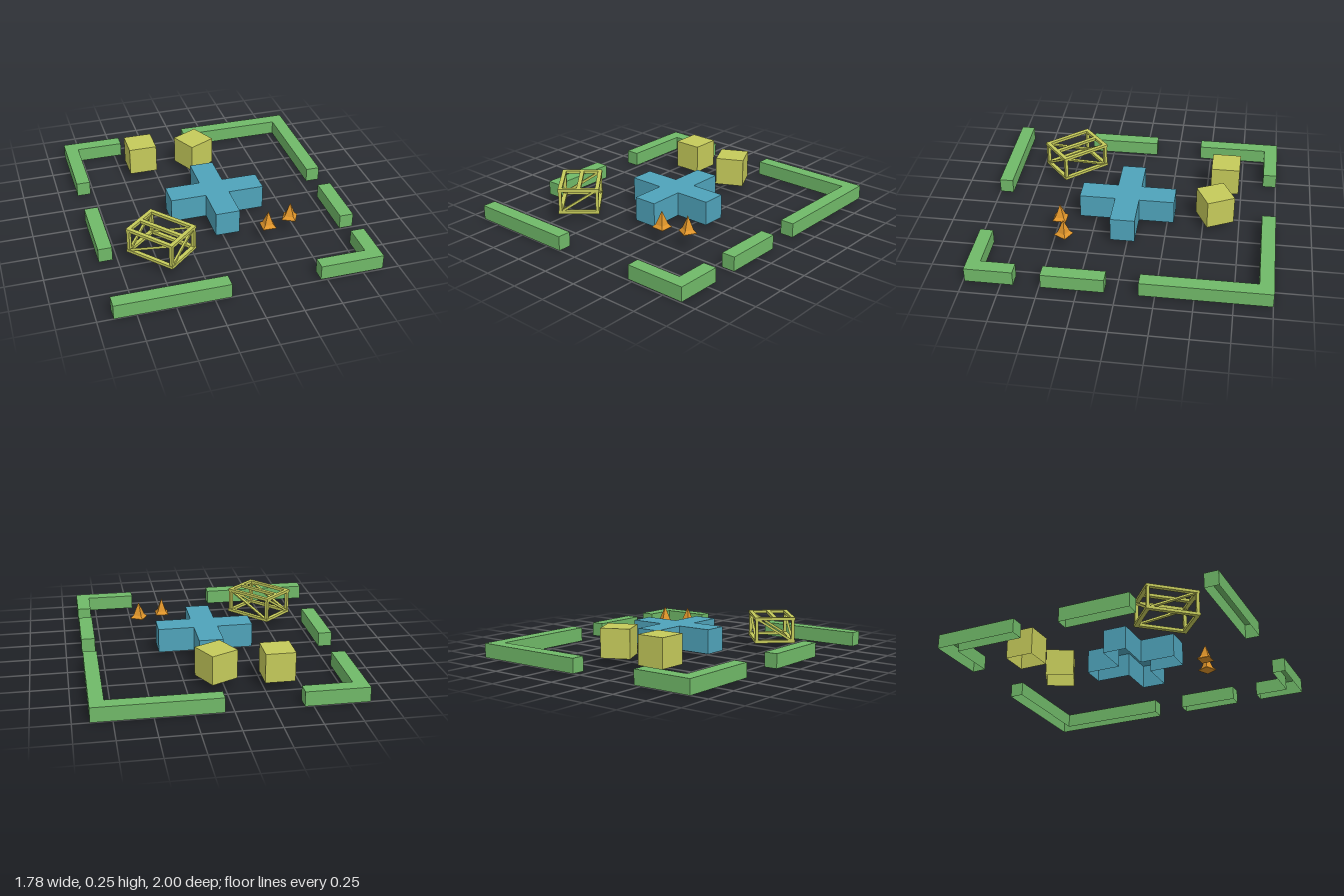
import * as THREE from 'three';

const paint = (name, color) => {
  const m = new THREE.MeshStandardMaterial({ color, side: THREE.DoubleSide });
  m.name = name;
  return m;
};

// Upright shell with a flat top and an open underside, from an outline of [x, z] corners
function shell(outline, y0, y1) {
  const shape = new THREE.Shape(outline.map(([x, z]) => new THREE.Vector2(x, -z)));
  const solid = new THREE.ExtrudeGeometry(shape, { depth: y1 - y0, bevelEnabled: false });
  solid.rotateX(-Math.PI / 2);
  const p = solid.attributes.position;
  const kept = [];
  for (let i = 0; i < p.count; i += 3) {
    if (Math.max(p.getY(i), p.getY(i + 1), p.getY(i + 2)) < 1e-5) continue;
    for (let k = i; k < i + 3; k++) kept.push(p.getX(k), p.getY(k) + y0, p.getZ(k));
  }
  const g = new THREE.BufferGeometry();
  g.setAttribute('position', new THREE.Float32BufferAttribute(kept, 3));
  g.computeVertexNormals();
  return g;
}

const rect = (x0, x1, z0, z1) => [[x0, z0], [x0, z1], [x1, z1], [x1, z0]];

export function createModel() {
  const model = new THREE.Group();
  model.name = 'arena';
  const green = paint('wall green', 0x70b968);
  const blue = paint('cross blue', 0x4fa3ba);
  const yellow = paint('crate yellow', 0xc5ca5a);
  const orange = paint('cone orange', 0xe0952a);

  const add = (parent, name, geometry, material) => {
    const mesh = new THREE.Mesh(geometry, material);
    mesh.name = name;
    parent.add(mesh);
    return mesh;
  };

  // Boundary walls, straight and L-shaped
  const walls = {
    backRightWall: [[-0.87, -1], [-0.445, -1], [-0.445, -0.905], [-0.775, -0.905], [-0.775, -0.42], [-0.87, -0.42]],
    backLeftWall: [[0.06, -1], [0.89, -1], [0.89, -0.145], [0.795, -0.145], [0.795, -0.905], [0.06, -0.905]],
    frontLeftWall: [[0.795, 0.67], [0.89, 0.67], [0.89, 0.99], [0.46, 0.99], [0.46, 0.9], [0.795, 0.9]],
    rightWall: rect(-0.875, -0.78, -0.085, 0.41),
    leftWall: rect(0.795, 0.89, 0.075, 0.49),
    frontWall: rect(-0.895, -0.14, 0.905, 1),
  };
  for (const [name, outline] of Object.entries(walls)) add(model, name, shell(outline, 0, 0.1), green);

  // Central cross block
  add(model, 'centreCross', shell([
    [-0.055, -0.297], [0.112, -0.297], [0.112, -0.053], [0.36, -0.053], [0.36, 0.115], [0.112, 0.115],
    [0.112, 0.362], [-0.055, 0.362], [-0.055, 0.115], [-0.302, 0.115], [-0.302, -0.053], [-0.055, -0.053],
  ], 0.02, 0.19), blue);

  // Two crates
  for (const [name, x, z, turn] of [['straightCrate', -0.35, -0.63, 0], ['turnedCrate', 0.045, -0.577, 0.46]]) {
    const crate = add(model, name, shell(rect(-0.1, 0.1, -0.1, 0.1), 0.05, 0.25), yellow);
    crate.position.set(x, 0, z);
    crate.rotation.y = turn;
  }

  // Open braced frame
  const frame = new THREE.Group();
  frame.name = 'bracedFrame';
  frame.position.set(-0.465, 0, 0.485);
  frame.rotation.y = -0.853;
  model.add(frame);
  const hx = 0.168, hz = 0.126, low = 0.08, high = 0.24, w = 0.028, h = 0.02;
  const bar = (name, sx, sy, sz, x, y, z) =>
    add(frame, name, new THREE.BoxGeometry(sx, sy, sz), yellow).position.set(x, y, z);
  for (const y of [low, high]) {
    for (const s of [-1, 1]) {
      bar('longRail', 2 * hx + w, h, w, 0, y, s * hz);
      bar('shortRail', w, h, 2 * hz - w, s * hx, y, 0);
    }
  }
  bar('middleRail', 2 * hx - w, h, w, 0, high, 0);
  for (const sx of [-1, 1]) for (const sz of [-1, 1])
    bar('post', 0.022, high - low, 0.022, sx * hx, (low + high) / 2, sz * hz);

  // Diagonal braces, one on each side, from a low corner to a high corner
  const corner = { W: [-hx, hz], S: [hx, hz], E: [hx, -hz], N: [-hx, -hz] };
  for (const [from, to] of ['WS', 'SE', 'NE', 'WN']) {
    const a = new THREE.Vector3(corner[from][0], low, corner[from][1]);
    const b = new THREE.Vector3(corner[to][0], high, corner[to][1]);
    const brace = add(frame, 'brace', new THREE.BoxGeometry(0.016, 0.016, a.distanceTo(b)), yellow);
    brace.position.copy(a).lerp(b, 0.5);
    brace.quaternion.setFromUnitVectors(new THREE.Vector3(0, 0, 1), b.sub(a).normalize());
  }

  // Four-sided flared cones
  const profile = [[0, 0.107], [0.065, 0.107], [0.065, 0.111], [0.042, 0.13], [0, 0.225]]
    .map(([r, y]) => new THREE.Vector2(r, y));
  const coneGeometry = new THREE.LatheGeometry(profile, 4).rotateY(Math.PI / 4).toNonIndexed();
  coneGeometry.computeVertexNormals();
  for (const [x, z, turn] of [[0.277, 0.47, -0.03], [0.452, 0.415, -0.49]]) {
    const cone = add(model, 'cone', coneGeometry, orange);
    cone.position.set(x, 0, z);
    cone.rotation.y = turn;
  }
  return model;
}
